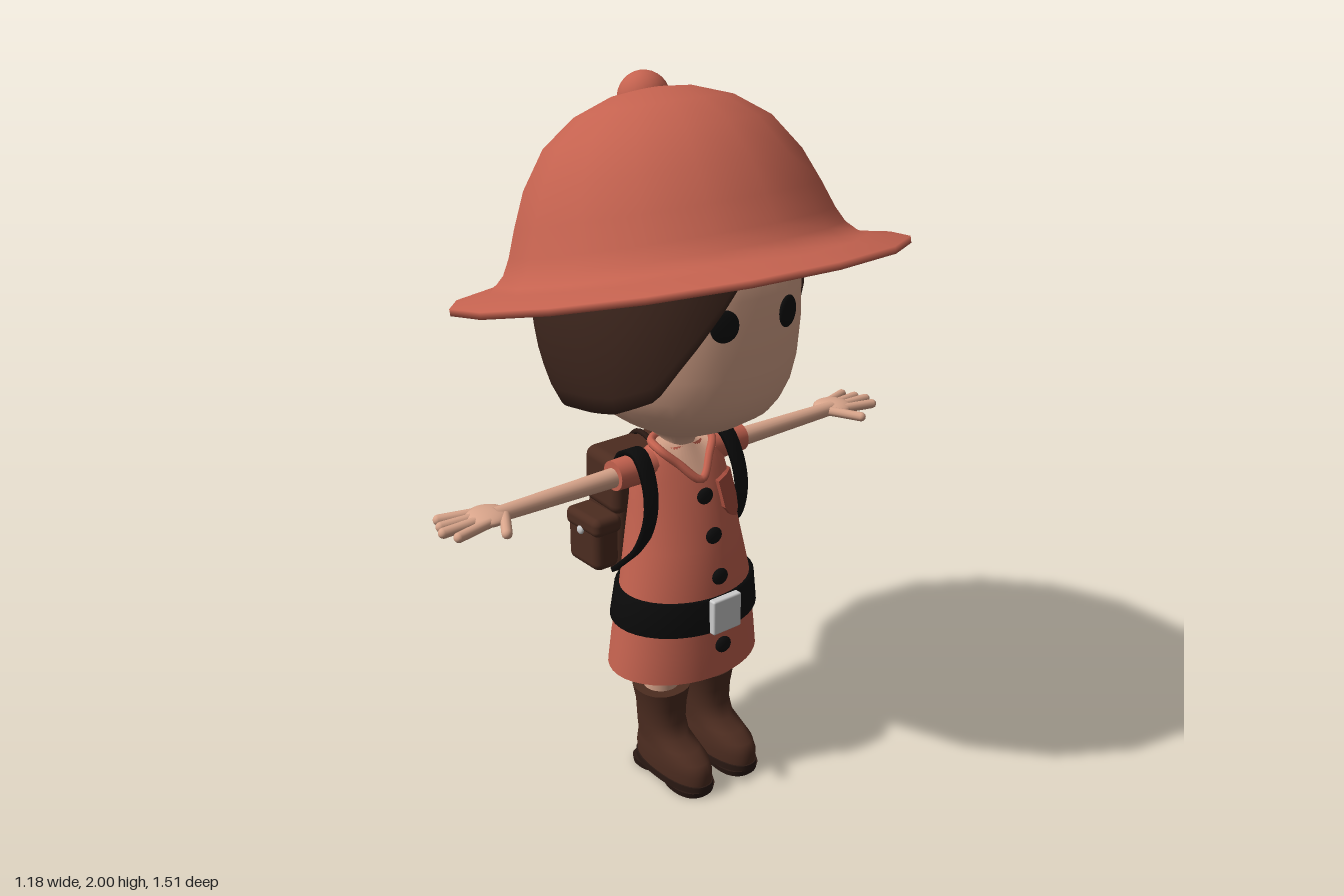
import * as THREE from 'three';
import { RoundedBoxGeometry } from 'three/addons/geometries/RoundedBoxGeometry.js';

const V = (x, y, z) => new THREE.Vector3(x, y, z);
const mat = (color) => new THREE.MeshStandardMaterial({ color, roughness: 0.8, side: THREE.DoubleSide });
const RED = mat(0xc4624f), DARK_RED = mat(0xa24a3b), SKIN = mat(0xd9a58b), HAIR = mat(0x3f271e);
const LEATHER = mat(0x4c2c20), SOLE = mat(0x2a1913), BLACK = mat(0x0b0b0b), METAL = mat(0xcccccc);

// Surface through rows of points; optional flat caps on first and last row
function loft(rows, { closed = true, caps = false } = {}) {
  const n = rows[0].length, pos = [], idx = [];
  rows.forEach((r) => r.forEach((p) => pos.push(p.x, p.y, p.z)));
  for (let j = 0; j < rows.length - 1; j++)
    for (let i = 0; i < (closed ? n : n - 1); i++) {
      const a = j * n + i, b = j * n + (i + 1) % n;
      idx.push(a, a + n, b, b, a + n, b + n);
    }
  if (caps) [rows[0], rows[rows.length - 1]].forEach((r, top) => {
    const base = pos.length / 3, c = V(0, 0, 0);
    r.forEach((p) => { pos.push(p.x, p.y, p.z); c.addScaledVector(p, 1 / n); });
    pos.push(c.x, c.y, c.z);
    for (let i = 0; i < n; i++) {
      const a = base + i, b = base + (i + 1) % n;
      top ? idx.push(base + n, b, a) : idx.push(base + n, a, b);
    }
  });
  const g = new THREE.BufferGeometry();
  g.setAttribute('position', new THREE.Float32BufferAttribute(pos, 3));
  g.setIndex(idx);
  g.computeVertexNormals();
  return g;
}

// Oval at height y; power below 1 makes it squarer
const bend = (v, p) => Math.sign(v) * Math.abs(v) ** p;
const ovalPoint = (a, y, cx, rx, rz, cz, p) => V(cx + rx * bend(Math.cos(a), p), y, cz + rz * bend(Math.sin(a), p));
const oval = ([y, cx, rx, rz], cz = 0, p = 1, n = 40) =>
  Array.from({ length: n }, (_, i) => ovalPoint(i / n * Math.PI * 2, y, cx, rx, rz, cz, p));
const ovals = (list, cz = 0, p = 1, opt = {}) => loft(list.map((s) => oval(s, cz, p)), opt);

// Linear lookup in rows sorted by their first value
function lookup(table, t) {
  let i = 0;
  while (i < table.length - 2 && t > table[i + 1][0]) i++;
  const a = table[i], b = table[i + 1], k = THREE.MathUtils.clamp((t - a[0]) / (b[0] - a[0]), 0, 1);
  return a.map((v, j) => v + (b[j] - v) * k);
}

// Sections: y, centre x, radius x, radius z
const DRESS = [[0.365, 0.02, 0.18, 0.235], [0.45, 0.022, 0.176, 0.224], [0.52, 0.025, 0.17, 0.213], [0.62, 0.03, 0.16, 0.2],
  [0.75, 0.02, 0.145, 0.175], [0.87, 0.01, 0.113, 0.16], [0.94, 0, 0.09, 0.152], [0.98, 0, 0.065, 0.14],
  [1.005, -0.005, 0.055, 0.115], [1.02, -0.005, 0.05, 0.08]];
const HEAD = [[0.96, 0, 0.045, 0.045], [1.03, 0, 0.045, 0.045], [1.065, 0, 0.09, 0.085], [1.085, 0, 0.145, 0.12],
  [1.11, 0, 0.2, 0.165], [1.155, -0.01, 0.28, 0.225], [1.19, -0.015, 0.31, 0.255], [1.235, -0.02, 0.333, 0.28],
  [1.3, -0.02, 0.343, 0.3], [1.39, -0.02, 0.346, 0.31], [1.5, -0.02, 0.342, 0.31], [1.6, -0.02, 0.32, 0.295], [1.72, -0.02, 0.22, 0.21]];
const BOOT = [[0.03, 0.085, 0.147, 0.064], [0.07, 0.085, 0.149, 0.067], [0.1, 0.08, 0.14, 0.063], [0.12, 0.06, 0.115, 0.061],
  [0.14, 0.035, 0.088, 0.061], [0.18, 0.025, 0.077, 0.063], [0.23, 0.025, 0.077, 0.067], [0.285, 0.025, 0.082, 0.08]];
const dressFront = (y, z) => {
  const [, cx, rx, rz] = lookup(DRESS, y);
  return cx + rx * Math.sqrt(Math.max(0, 1 - (z / rz) ** 2));
};

// Hair hangs from under the hat to a hem that opens around the face
function hairGeometry() {
  const hem = [[2, 1.62], [20, 1.48], [37, 1.35], [48, 1.26], [70, 1.2], [110, 1.14], [180, 1.1],
    [250, 1.14], [275, 1.18], [286, 1.25], [293, 1.4], [298, 1.62]];
  const size = [[1.1, 0.75], [1.15, 0.82], [1.2, 0.885], [1.3, 0.95], [1.4, 0.98], [1.5, 0.98], [1.6, 0.95], [1.75, 0.72]];
  const rows = [], cols = 75, steps = 12;
  for (let j = -1; j <= steps; j++) {
    const row = [];
    for (let i = 0; i < cols; i++) {
      const deg = 2 + 296 * i / (cols - 1), low = lookup(hem, deg)[1];
      const y = j < 0 ? low + 0.015 : low + (1.75 - low) * j / steps;
      const s = lookup(size, y)[1] * (j < 0 ? 0.82 : 1);
      row.push(ovalPoint(deg * Math.PI / 180, y, -0.03, 0.39 * s, 0.35 * s, 0, 0.85));
    }
    rows.push(row);
  }
  return loft(rows, { closed: false });
}

function hatGeometry() {
  const outer = [[0.607, 0], [0.5, 0.02], [0.455, 0.035], [0.43, 0.06], [0.41, 0.1], [0.385, 0.17], [0.348, 0.26],
    [0.285, 0.355], [0.2, 0.42], [0.1, 0.458], [0, 0.47]];
  const inner = outer.map(([r, h]) => [r < 0.5 ? r * 0.96 : r, h - 0.018]).reverse();
  const g = new THREE.LatheGeometry([...inner, ...outer].map(([r, h]) => new THREE.Vector2(r, h)), 16);
  const p = g.attributes.position;
  for (let i = 0; i < p.count; i++) // the crown is a little wider than long
    if (Math.hypot(p.getX(i), p.getZ(i)) < 0.47) p.setZ(i, p.getZ(i) * 1.08);
  return g;
}

// Breast pocket bent onto the dress
function pocketGeometry() {
  const s = new THREE.Shape([[-0.055, 0.915], [-0.055, 0.845], [-0.075, 0.82], [-0.1, 0.808], [-0.125, 0.82], [-0.145, 0.845], [-0.145, 0.915], [-0.1, 0.92]]
    .map(([z, y]) => new THREE.Vector2(-z, y)));
  const g = new THREE.ExtrudeGeometry(s, { depth: 0.016, bevelEnabled: false }), p = g.attributes.position;
  for (let i = 0; i < p.count; i++) {
    const z = -p.getX(i), y = p.getY(i);
    p.setXYZ(i, dressFront(y, z) + p.getZ(i), y, z);
  }
  g.computeVertexNormals();
  return g;
}

// Shoulder strap, narrowing towards its lower end
function strapGeometry(s) {
  const path = new THREE.CatmullRomCurve3([[-0.08, 0.96, 0.14], [-0.04, 1.01, 0.145], [0.02, 1.02, 0.15], [0.07, 0.95, 0.155],
    [0.083, 0.86, 0.163], [0.05, 0.76, 0.175], [0, 0.705, 0.18], [-0.08, 0.64, 0.165]].map(([x, y, z]) => V(x, y, z * s)));
  const rows = path.getPoints(30).map((c, i) => {
    const t = path.getTangent(i / 30), nx = -t.y * 0.007, ny = t.x * 0.007, w = 0.027 - 0.014 * i / 30;
    return [[1, 1], [1, -1], [-1, -1], [-1, 1]].map(([a, b]) => V(c.x + a * nx, c.y + a * ny, c.z + b * w));
  });
  return loft(rows, { caps: true });
}

export function createModel() {
  const model = new THREE.Group();
  const add = (name, geo, material, x = 0, y = 0, z = 0, parent = model) => {
    const m = new THREE.Mesh(geo, material);
    m.name = name;
    m.position.set(x, y, z);
    parent.add(m);
    return m;
  };
  const box = (name, m, size, at, r = 0.02) => add(name, new RoundedBoxGeometry(...size, 3, r), m, ...at);
  const ball = (name, m, at, scale) => {
    const b = add(name, new THREE.SphereGeometry(1, 24, 16), m, ...at);
    b.scale.set(...scale);
    return b;
  };
  const rod = (name, m, a, b, r) => {
    const d = b.clone().sub(a), mid = a.clone().lerp(b, 0.5);
    add(name, new THREE.CapsuleGeometry(r, d.length(), 5, 12), m, mid.x, mid.y, mid.z)
      .quaternion.setFromUnitVectors(V(0, 1, 0), d.normalize());
  };

  // Head, hair and tilted hat
  add('head', ovals(HEAD, 0, 0.9, { caps: true }), SKIN);
  add('hair', hairGeometry(), HAIR);
  const hat = new THREE.Group();
  hat.name = 'hat';
  hat.position.set(0, 1.505, 0);
  hat.rotation.z = 0.241;
  model.add(hat);
  add('hatShell', hatGeometry(), RED, 0, 0, 0, hat);
  add('hatKnob', new THREE.SphereGeometry(0.07, 20, 14), RED, -0.035, 0.446, 0, hat);

  // Dress with collar, belt, buttons and pocket
  add('dress', ovals(DRESS), RED);
  const collar = new THREE.CatmullRomCurve3([V(0.102, 0.935, 0), V(0.068, 0.985, 0.055), V(0.035, 1.022, 0.09), V(-0.025, 1.03, 0.075),
    V(-0.055, 1.03, 0), V(-0.025, 1.03, -0.075), V(0.035, 1.022, -0.09), V(0.068, 0.985, -0.055)], true);
  const rim = collar.getPoints(40).slice(0, 40);
  add('neckline', loft([rim, oval([1.03, 0, 0.04, 0.04])]), SKIN);
  add('collar', new THREE.TubeGeometry(collar, 60, 0.012, 8, true), RED);
  add('belt', ovals([0.515, 0.516, 0.614, 0.615].map((y, i) => {
    const [, cx, rx, rz] = lookup(DRESS, y), o = i % 3 ? 0.013 : -0.005;
    return [y, cx, rx + o, rz + o];
  })), BLACK);
  box('buckle', METAL, [0.025, 0.105, 0.1], [0.208, 0.566, 0], 0.006);
  for (const y of [0.89, 0.785, 0.67, 0.462]) ball('button', BLACK, [dressFront(y, 0) + 0.004, y, 0], [0.014, 0.024, 0.026]);
  add('breastPocket', pocketGeometry(), DARK_RED);

  // Backpack
  box('backpack', LEATHER, [0.165, 0.35, 0.31], [-0.155, 0.785, 0], 0.035).rotation.z = -0.06;
  box('backpackFlap', LEATHER, [0.165, 0.17, 0.33], [-0.147, 0.888, 0], 0.03).rotation.z = -0.06;
  ball('flapStud', METAL, [-0.236, 0.83, 0], [0.012, 0.018, 0.018]);
  add('carryLoop', new THREE.TubeGeometry(new THREE.CatmullRomCurve3([V(-0.1, 0.97, 0), V(-0.18, 0.988, 0),
    V(-0.225, 0.95, 0), V(-0.245, 0.84, 0)]), 20, 0.008, 8), SOLE);

  for (const s of [1, -1]) {
    ball('eye', BLACK, [0.311, 1.445, s * 0.105], [0.012, 0.042, 0.039]).rotation.y = -s * 0.32;

    // Sleeve, arm and hand
    add('sleeve', new THREE.CylinderGeometry(0.042, 0.045, 0.125, 24), RED, 0, 0.972, s * 0.162).rotation.x = s * Math.PI / 2;
    add('arm', new THREE.CylinderGeometry(0.021, 0.028, 0.4, 20), SKIN, 0, 0.967, s * 0.395).rotation.x = s * Math.PI / 2;
    ball('palm', SKIN, [-0.012, 0.966, s * 0.61], [0.058, 0.02, 0.058]);
    [[-0.045, -0.077, 0.715], [-0.022, -0.037, 0.73], [0, -0.003, 0.743], [0.025, 0.042, 0.725]].forEach(([x0, x1, z]) =>
      rod('finger', SKIN, V(x0, 0.966, s * 0.625), V(x1, 0.962, s * z), 0.014));
    rod('thumb', SKIN, V(0.015, 0.966, s * 0.575), V(0.098, 0.962, s * 0.622), 0.014);

    // Leg and boot
    const cz = s * 0.084;
    add('leg', new THREE.CylinderGeometry(0.062, 0.05, 0.26, 24), SKIN, 0.025, 0.38, cz);
    add('boot', ovals(BOOT, cz, 0.88, { caps: true }), LEATHER);
    add('sole', ovals([[0.018, 0.085, 0.151, 0.068], [0.038, 0.085, 0.151, 0.068]], cz, 0.85, { caps: true }), SOLE);
    add('heel', ovals([[0, -0.008, 0.054, 0.06], [0.02, -0.008, 0.056, 0.063]], cz, 0.75, { caps: true }), SOLE);
    add('toeSole', ovals([[0.002, 0.152, 0.078, 0.06], [0.02, 0.152, 0.082, 0.064]], cz, 0.85, { caps: true }), SOLE);

    // Strap and side pocket
    add('strap', strapGeometry(s), BLACK);
    box('sidePocket', LEATHER, [0.145, 0.155, 0.085], [-0.152, 0.718, s * 0.185], 0.025);
    box('sidePocketFlap', LEATHER, [0.155, 0.055, 0.095], [-0.15, 0.778, s * 0.185], 0.02);
    ball('sidePocketStud', METAL, [-0.15, 0.757, s * 0.232], [0.013, 0.013, 0.008]);
  }
  return model;
}
